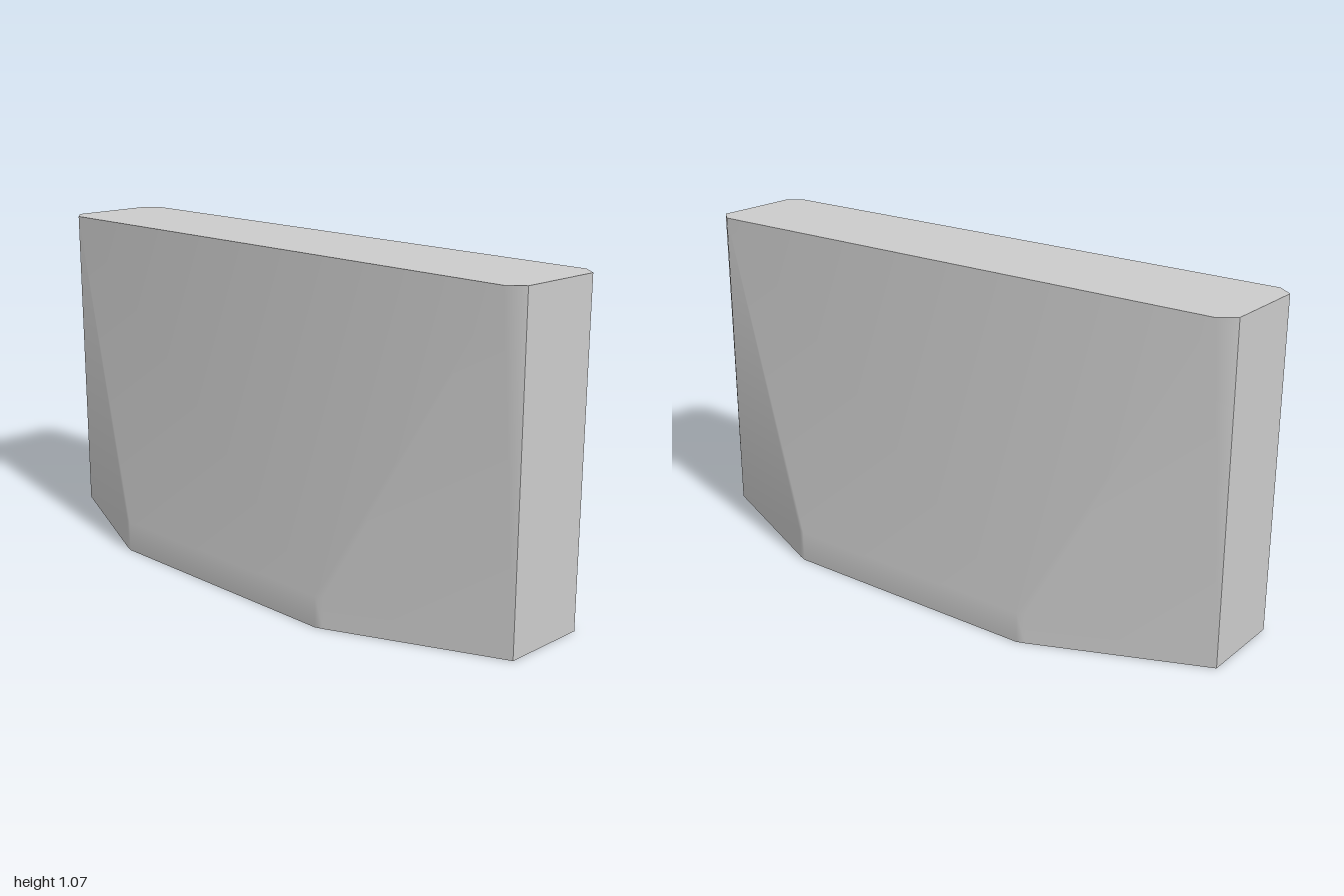
import * as THREE from 'three';

const HEIGHT = 1.07, LIP = 0.1;
// Half outlines [x, z] of the front right quarter
const END = [1, 0.146], TOP = [0.95, 0.187];
const OUTER = [0.472, 0.375], INNER = [0.447, 0.384];

// Smooth-shaded tapered wall facing +z
function wallGeometry() {
  const row = (y, half) => [
    ...half.map(([x, z]) => [x, y, z]),
    ...half.slice().reverse().map(([x, z]) => [-x, y, z]),
  ];
  const points = [
    ...row(0, [END, OUTER, INNER]),      // 0-5
    ...row(LIP, [OUTER, INNER]),         // 6-9
    ...row(HEIGHT, [END, TOP]),          // 10-13
  ];
  const geometry = new THREE.BufferGeometry();
  geometry.setAttribute('position', new THREE.Float32BufferAttribute(points.flat(), 3));
  geometry.setIndex([
    10, 11, 0, 0, 11, 6, 0, 6, 1,        // right flank
    1, 6, 7, 1, 7, 2, 6, 11, 7,          // right rounded corner
    2, 7, 8, 2, 8, 3, 7, 11, 12, 7, 12, 8, // broad face
    3, 8, 9, 3, 9, 4, 8, 12, 9,          // left rounded corner
    4, 9, 5, 9, 12, 5, 5, 12, 13,        // left flank
  ]);
  geometry.computeVertexNormals();
  return geometry;
}

// Flat cap from a quarter outline mirrored into all four quadrants
function capGeometry(quarter) {
  const back = quarter.slice().reverse();
  const outline = [
    ...quarter,
    ...back.map(([x, z]) => [-x, z]),
    ...quarter.map(([x, z]) => [-x, -z]),
    ...back.map(([x, z]) => [x, -z]),
  ];
  return new THREE.ShapeGeometry(new THREE.Shape(outline.map(([x, z]) => new THREE.Vector2(x, z))));
}

export function createModel() {
  const group = new THREE.Group();
  group.name = 'taperedBlock';
  const grey = new THREE.MeshStandardMaterial({ color: 0xcccccc });
  grey.name = 'grey';

  const add = (name, geometry) => {
    const mesh = new THREE.Mesh(geometry, grey);
    mesh.name = name;
    group.add(mesh);
    return mesh;
  };

  // Front and back walls
  const wall = wallGeometry();
  add('frontWall', wall);
  add('backWall', wall).rotation.y = Math.PI;

  // Flat ends
  const end = new THREE.PlaneGeometry(END[1] * 2, HEIGHT);
  for (const side of [1, -1]) {
    const mesh = add(side > 0 ? 'leftEnd' : 'rightEnd', end);
    mesh.position.set(side * END[0], HEIGHT / 2, 0);
    mesh.rotation.y = side * Math.PI / 2;
  }

  // Top and base
  const top = add('top', capGeometry([END, TOP]));
  top.rotation.x = -Math.PI / 2;
  top.position.y = HEIGHT;
  add('base', capGeometry([END, OUTER, INNER])).rotation.x = Math.PI / 2;

  return group;
}
